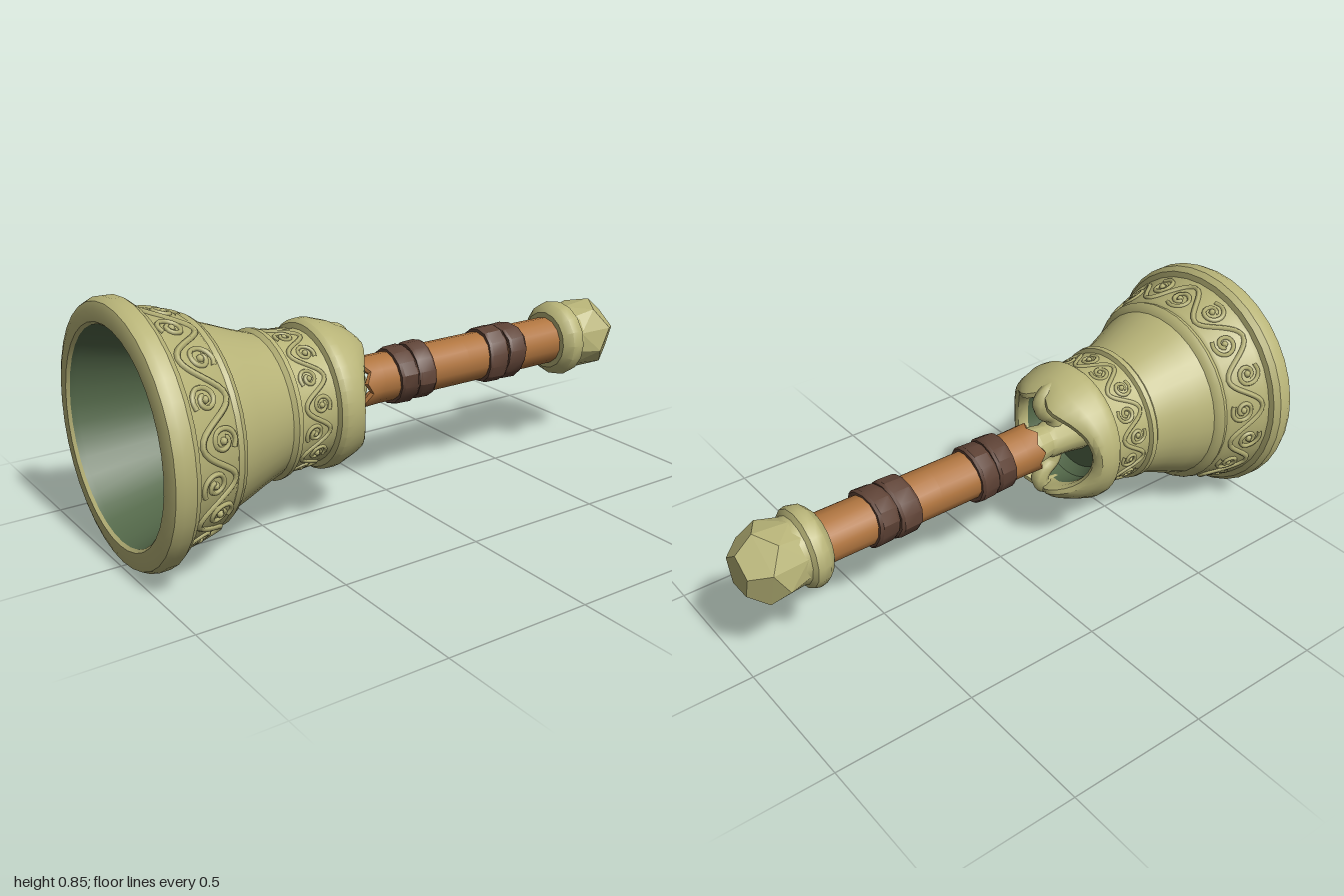
import * as THREE from 'three';
import { toCreasedNormals, mergeGeometries } from 'three/addons/utils/BufferGeometryUtils.js';
import { ConvexGeometry } from 'three/addons/geometries/ConvexGeometry.js';

const AXIS_Y = 0.424;

function material(name, color, side = THREE.FrontSide) {
  const m = new THREE.MeshStandardMaterial({ color, side });
  m.name = name;
  return m;
}

export function createModel() {
  const brass = material('brass', 0xb8b478);
  const patina = material('dark patina', 0x54694a, THREE.DoubleSide);
  const wood = material('wood', 0xb0753f);
  const leather = material('leather', 0x5f4336);

  const model = new THREE.Group();
  model.name = 'handBell';
  const bell = new THREE.Group();
  bell.name = 'bellAlongZ';
  bell.position.y = AXIS_Y;
  model.add(bell);

  const add = (name, geometry, mat) => {
    const mesh = new THREE.Mesh(geometry, mat);
    mesh.name = name;
    bell.add(mesh);
    return mesh;
  };

  // Turned part around the z axis; profile is [radius, z], an optional rule moves vertices
  const turned = (profile, segments, rule, crease = 0.6) => {
    const g = new THREE.LatheGeometry(profile.map(([r, z]) => new THREE.Vector2(r, z)), segments);
    g.rotateX(Math.PI / 2);
    if (rule) {
      const p = g.attributes.position;
      const v = new THREE.Vector3();
      for (let i = 0; i < p.count; i++) {
        v.fromBufferAttribute(p, i);
        rule(v);
        p.setXYZ(i, v.x, v.y, v.z);
      }
    }
    return toCreasedNormals(g, crease);
  };

  // Bell body with its ridges and rolled lip
  add('bellBody', turned([
    [0.222, 0.33], [0.221, 0.355], [0.232, 0.475], [0.247, 0.48], [0.25, 0.497], [0.238, 0.51],
    [0.262, 0.58], [0.29, 0.65], [0.312, 0.712], [0.328, 0.72], [0.34, 0.737], [0.335, 0.752],
    [0.345, 0.762], [0.38, 0.895], [0.388, 0.908], [0.408, 0.912], [0.423, 0.932],
    [0.424, 0.968], [0.412, 0.992], [0.39, 1.0], [0.352, 1.0], [0.343, 0.99],
  ], 36), brass);

  // Inner wall and floor of the mouth
  add('bellInside', turned([[0.343, 0.99], [0.34, 0.97], [0.268, 0.73], [0, 0.73]], 36), patina);

  // Crown cup: its rim swells at top and bottom, with a shallow notch for each hook
  const crownRule = (v) => {
    const r = Math.hypot(v.x, v.y);
    if (r < 0.01) return;
    const c = v.x / r;
    const lift = 1 - c * c - 0.45 * Math.exp(-((c / 0.28) ** 2));
    const k = THREE.MathUtils.clamp((0.29 - v.z) / 0.05, 0, 1) * lift;
    const s = 1 - 0.22 * k;
    v.set(v.x * s, v.y * s, v.z - 0.11 * k);
  };
  add('crownRim', turned([
    [0.182, 0.265], [0.19, 0.25], [0.205, 0.24], [0.225, 0.24], [0.243, 0.25], [0.25, 0.265],
    [0.252, 0.29], [0.251, 0.32], [0.24, 0.335], [0.22, 0.34],
  ], 40, crownRule), brass);
  add('crownInside', turned([[0, 0.335], [0.15, 0.335], [0.175, 0.3], [0.182, 0.265]], 40, crownRule), patina);

  // Hooks joining the crown to the ferrule
  for (const s of [1, -1]) {
    const path = new THREE.CatmullRomCurve3([
      [0, 0.2, 0.25], [0, 0.19, 0.2], [0, 0.155, 0.175], [0, 0.12, 0.19], [0, 0.09, 0.225], [0, 0.045, 0.24],
    ].map(([x, y, z]) => new THREE.Vector3(x, y * s, z)));
    add(s > 0 ? 'upperHook' : 'lowerHook', new THREE.TubeGeometry(path, 20, 0.031, 8), brass);
  }
  add('ferrule', turned([
    [0, 0.12], [0.062, 0.12], [0.068, 0.14], [0.06, 0.19], [0.066, 0.21], [0.07, 0.27], [0.08, 0.336],
  ], 12), brass);

  // Raised scrollwork: a waving vine with a curl and bud in every hollow
  const scrollBand = (name, zMid, amp, curl, n, thick, radiusAt) => {
    const parts = [];
    const place = (a, z) => {
      const r = radiusAt(z);
      return new THREE.Vector3(r * Math.cos(a), r * Math.sin(a), z);
    };
    const vine = [];
    for (let i = 0; i < n * 12; i++) {
      const a = (i / (n * 12)) * Math.PI * 2;
      vine.push(place(a, zMid + amp * Math.sin(n * a)));
    }
    parts.push(new THREE.TubeGeometry(new THREE.CatmullRomCurve3(vine, true), n * 20, thick, 5, true));
    for (let k = 0; k < 2 * n; k++) {
      const side = k % 2 ? -1 : 1;
      const a0 = ((k + 0.5) * Math.PI) / n;
      const z0 = zMid - side * amp * 0.3;
      const points = [];
      for (let i = 0; i <= 14; i++) {
        const t = i / 14;
        const turn = side * (-2.2 + t * 8.2);
        const rad = curl * (1 - 0.72 * t);
        points.push(place(a0 + (rad * Math.cos(turn)) / radiusAt(z0), z0 + rad * Math.sin(turn)));
      }
      parts.push(new THREE.TubeGeometry(new THREE.CatmullRomCurve3(points), 26, thick * 0.85, 5));
      const bud = new THREE.SphereGeometry(thick * 1.25, 6, 5);
      const c = place(a0, z0);
      bud.translate(c.x, c.y, c.z);
      parts.push(bud);
    }
    add(name, mergeGeometries(parts), brass);
  };
  scrollBand('lowerScrollwork', 0.828, 0.058, 0.045, 9, 0.01,
    (z) => 0.345 + ((z - 0.762) * 0.035) / 0.133);
  scrollBand('upperScrollwork', 0.412, 0.045, 0.033, 8, 0.008,
    (z) => 0.221 + ((z - 0.355) * 0.011) / 0.12);

  // Wooden grip with a splintered front end
  add('woodGrip', turned([
    [0.086, -0.75], [0.086, -0.3], [0.085, 0.06], [0.087, 0.12], [0.075, 0.126], [0.058, 0.115],
  ], 14, (v) => {
    if (v.z > 0.1) v.z += 0.014 * Math.sin(Math.atan2(v.y, v.x) * 7 + 0.6);
  }), wood);

  // Leather wraps, two slightly uneven straps in each
  [[-0.002, 0.072], [-0.078, 0.07], [-0.392, 0.08], [-0.476, 0.074]].forEach(([front, width], i) => {
    const back = front - width;
    add('leatherStrap', turned([
      [0.084, back], [0.096, back], [0.102, back + 0.01], [0.1, front - 0.01], [0.096, front], [0.084, front],
    ], 14, (v) => {
      const a = Math.atan2(v.y, v.x);
      const s = 1 + 0.025 * Math.sin(a * 3 + i * 2);
      v.set(v.x * s, v.y * s, v.z + 0.005 * Math.sin(a * 2 + i));
    }, 0.5), leather);
  });

  // Pommel collar
  add('pommelCollar', turned([
    [0.08, -0.722], [0.08, -0.84], [0.11, -0.835], [0.116, -0.805], [0.134, -0.795], [0.139, -0.775],
    [0.134, -0.75], [0.116, -0.73], [0.105, -0.722], [0.08, -0.722],
  ].slice(1), 16), brass);

  // Faceted pommel cap from staggered five-sided rings
  const corners = [];
  for (const [r, z, shift, n] of [
    [0.072, -1, 0, 5], [0.126, -0.938, 0, 5], [0.134, -0.89, 0.5, 5], [0.113, -0.81, 0, 10],
  ]) {
    for (let i = 0; i < n; i++) {
      const a = Math.PI / 2 + ((i + shift) / n) * Math.PI * 2;
      corners.push(new THREE.Vector3(r * Math.cos(a), r * Math.sin(a), z));
    }
  }
  add('pommelCap', new ConvexGeometry(corners), brass);

  return model;
}
